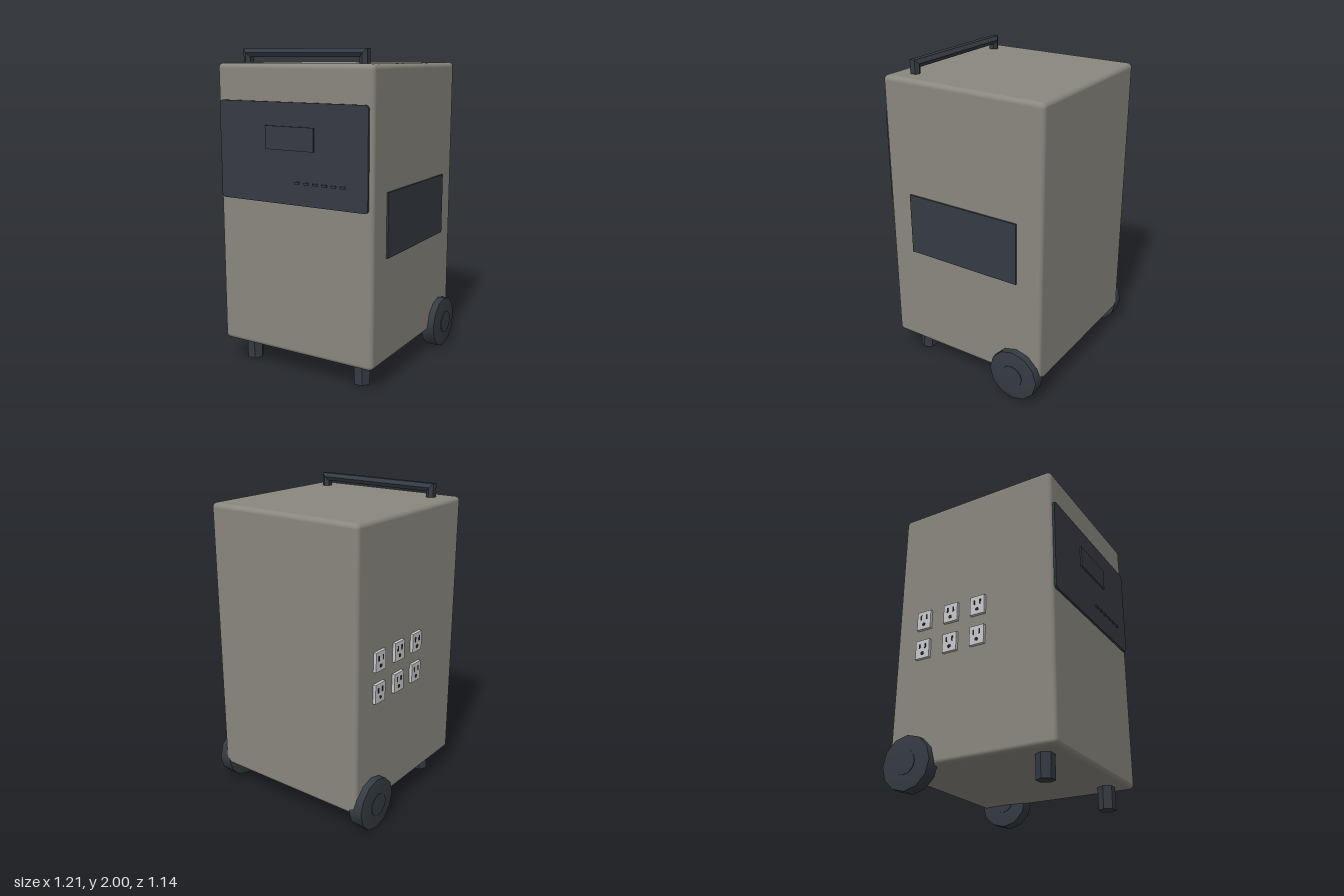
import * as THREE from 'three';
import { toCreasedNormals } from 'three/addons/utils/BufferGeometryUtils.js';
import { RoundedBoxGeometry } from 'three/addons/geometries/RoundedBoxGeometry.js';

const mat = (name, color) => {
  const m = new THREE.MeshStandardMaterial({ color });
  m.name = name;
  return m;
};

export function createModel() {
  const casing = mat('warmGreyCasing', 0x8a877e);
  const dark = mat('darkSlate', 0x343b42);
  const panelDark = mat('panelSlate', 0x363a43);
  const pale = mat('paleGrey', 0xc9c9cc);
  const black = mat('slotBlack', 0x202326);

  const model = new THREE.Group();
  model.name = 'portablePowerUnit';

  const add = (parent, name, geometry, material, x = 0, y = 0, z = 0) => {
    const mesh = new THREE.Mesh(geometry, material);
    mesh.name = name;
    mesh.position.set(x, y, z);
    parent.add(mesh);
    return mesh;
  };
  const box = (w, h, d) => new THREE.BoxGeometry(w, h, d);

  // Main casing
  add(model, 'body', new RoundedBoxGeometry(1.09, 1.77, 1.11, 4, 0.03), casing, 0, 1.03, -0.01);

  // Front control panel with rounded corners
  const w = 0.52, h = 0.302, r = 0.022;
  const outline = new THREE.Shape();
  outline.absarc(w - r, h - r, r, 0, Math.PI / 2);
  outline.absarc(-w + r, h - r, r, Math.PI / 2, Math.PI);
  outline.absarc(-w + r, -h + r, r, Math.PI, Math.PI * 1.5);
  outline.absarc(w - r, -h + r, r, Math.PI * 1.5, Math.PI * 2);
  const panel = new THREE.ExtrudeGeometry(outline, { depth: 0.022, bevelEnabled: false, curveSegments: 4 });
  add(model, 'controlPanel', panel, panelDark, 0, 1.392, 0.537);
  add(model, 'display', box(0.34, 0.14, 0.014), panelDark, -0.003, 1.484, 0.563);
  for (let i = 0; i < 6; i++) {
    add(model, 'button', box(0.034, 0.013, 0.012), panelDark, 0.048 + i * 0.0625, 1.225, 0.562);
  }

  // Side cover
  add(model, 'sideCover', box(0.03, 0.392, 0.776), dark, 0.541, 0.992, -0.012);

  // Power outlets: two rows of three
  for (const y of [0.89, 1.09]) {
    for (const z of [-0.35, -0.15, 0.045]) {
      const outlet = new THREE.Group();
      outlet.name = 'outlet';
      outlet.position.set(-0.545, y, z);
      add(outlet, 'outletPlate', box(0.02, 0.122, 0.1), pale, -0.01);
      for (const s of [-1, 1]) {
        add(outlet, 'outletSlot', box(0.004, 0.032, 0.01), black, -0.02, 0.02, s * 0.021);
      }
      const hole = new THREE.CylinderGeometry(0.012, 0.012, 0.004, 10).rotateZ(Math.PI / 2);
      add(outlet, 'groundHole', hole, black, -0.02, -0.028, 0);
      model.add(outlet);
    }
  }

  // Wheels: twelve-sided, faces coned towards a slightly raised hub
  const half = [[0.167, 0.044], [0.078, 0.055], [0.074, 0.055], [0.074, 0.059], [0, 0.059]];
  const profile = [
    ...half.slice().reverse().map(([a, b]) => new THREE.Vector2(a, -b)),
    ...half.map(([a, b]) => new THREE.Vector2(a, b)),
  ];
  const wheel = toCreasedNormals(new THREE.LatheGeometry(profile, 12).rotateZ(-Math.PI / 2), 0.6);

  // Six-sided feet
  const foot = new THREE.CylinderGeometry(0.055, 0.055, 0.17, 6).rotateY(Math.PI / 2);
  foot.computeVertexNormals();
  const footGeometry = toCreasedNormals(foot, 0.5);

  for (const s of [-1, 1]) {
    add(model, s > 0 ? 'leftWheel' : 'rightWheel', wheel, dark, s * 0.546, 0.17, -0.402);
    add(model, s > 0 ? 'leftFoot' : 'rightFoot', footGeometry, dark, s * 0.405, 0.085, 0.408);
  }

  // Handle: six-sided section swept along a mitred U
  const section = [[0.025, -0.018], [0.025, 0.018], [0, 0.033], [-0.025, 0.018], [-0.025, -0.018], [0, -0.033]];
  // centre x, centre y, outward x, outward y
  const path = [[-0.41, 1.9, -1, 0], [-0.41, 1.975, -1, 1], [0.41, 1.975, 1, 1], [0.41, 1.9, 1, 0]];
  const point = (i, j) => {
    const [x, y, nx, ny] = path[i];
    const [u, v] = section[j % 6];
    return [x + nx * u, y + ny * u, v];
  };
  const positions = [];
  for (let i = 0; i < 3; i++) {
    for (let j = 0; j < 6; j++) {
      const a = point(i, j), b = point(i, j + 1), c = point(i + 1, j + 1), d = point(i + 1, j);
      positions.push(...a, ...b, ...c, ...a, ...c, ...d);
    }
  }
  const handle = new THREE.BufferGeometry();
  handle.setAttribute('position', new THREE.Float32BufferAttribute(positions, 3));
  handle.computeVertexNormals();
  add(model, 'handle', handle, dark, 0, 0, 0.403);

  return model;
}
